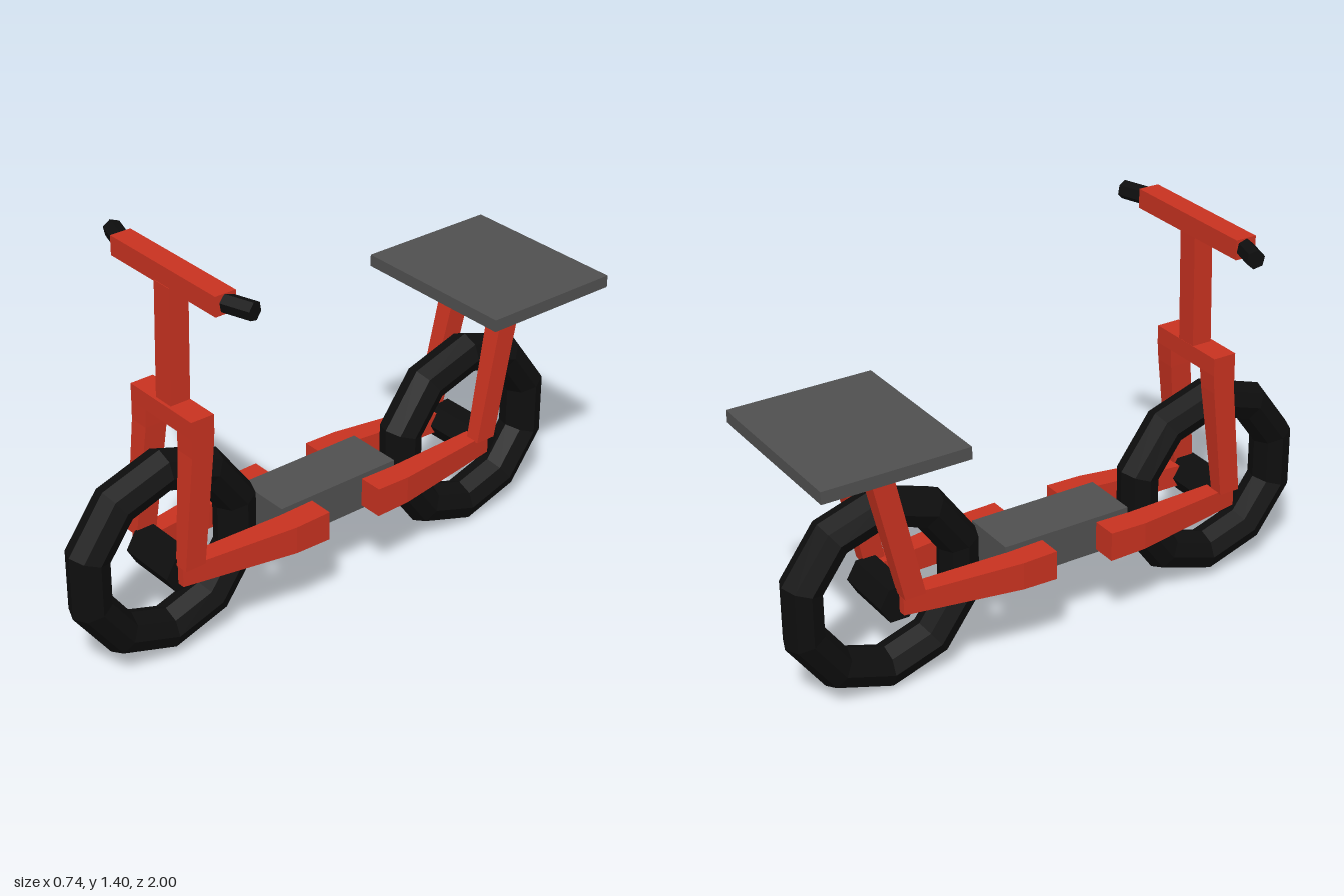
import * as THREE from 'three';

const flat = (name, color) => {
  const m = new THREE.MeshStandardMaterial({ color });
  m.name = name;
  m.flatShading = true;
  return m;
};

// Four-sided beam through rings [t, x0, x1, u0, u1], t ascending along 'y' or 'z'.
function beam(axis, rings, side) {
  const corners = rings.map(([t, x0, x1, u0, u1]) =>
    [[x0, u0], [x1, u0], [x1, u1], [x0, u1]].map(([x, u]) =>
      axis === 'z' ? [x * side, u, t] : [x * side, t, u]));
  const flip = (axis === 'y') !== (side < 0);
  const pos = [];
  const quad = (a, b, c, d) => {
    const tris = flip ? [a, c, b, a, d, c] : [a, b, c, a, c, d];
    tris.forEach((p) => pos.push(...p));
  };
  for (let i = 0; i < corners.length - 1; i++) {
    const r = corners[i], s = corners[i + 1];
    for (let j = 0; j < 4; j++) {
      const k = (j + 1) % 4;
      quad(r[j], r[k], s[k], s[j]);
    }
  }
  const first = corners[0], last = corners[corners.length - 1];
  quad(first[3], first[2], first[1], first[0]);
  quad(last[0], last[1], last[2], last[3]);
  const g = new THREE.BufferGeometry();
  g.setAttribute('position', new THREE.Float32BufferAttribute(pos, 3));
  g.computeVertexNormals();
  return g;
}

export function createModel() {
  const model = new THREE.Group();
  model.name = 'scooter';
  const red = flat('red frame', 0xc83220);
  const grey = flat('dark grey', 0x505050);
  const black = flat('black rubber', 0x0e0e0e);

  const add = (name, geometry, material, x = 0, y = 0, z = 0) => {
    const m = new THREE.Mesh(geometry, material);
    m.name = name;
    m.position.set(x, y, z);
    model.add(m);
    return m;
  };
  const box = (name, material, x, y, z, w, h, d) =>
    add(name, new THREE.BoxGeometry(w, h, d), material, x, y, z);

  // Ten-sided tyres and six-sided hubs
  const tyre = new THREE.TorusGeometry(0.3, 0.072, 8, 10)
    .rotateZ(Math.PI / 10).rotateY(Math.PI / 2).scale(1.06, 1, 1);
  const hub = new THREE.CylinderGeometry(0.07, 0.07, 0.22, 6).rotateZ(Math.PI / 2);
  add('frontTyre', tyre, black, 0, 0.402, 0.645);
  add('rearTyre', tyre, black, 0, 0.376, -0.645);
  add('frontHub', hub, black, 0, 0.37, 0.642);
  add('rearHub', hub, black, 0, 0.37, -0.642);

  // Central deck and rear seat plate
  box('deck', grey, 0, 0.377, 0.003, 0.21, 0.135, 0.485);
  box('seat', grey, 0, 0.959, -0.742, 0.628, 0.043, 0.516);

  // Paired frame members
  for (const [label, s] of [['left', 1], ['right', -1]]) {
    add(label + 'FrontArm', beam('z', [
      [0.118, 0.105, 0.197, 0.322, 0.427],
      [0.255, 0.105, 0.197, 0.325, 0.424],
      [0.668, 0.075, 0.138, 0.34, 0.412],
    ], s), red);
    add(label + 'RearArm', beam('z', [
      [-0.642, 0.075, 0.138, 0.34, 0.412],
      [-0.225, 0.105, 0.193, 0.325, 0.424],
      [-0.097, 0.105, 0.193, 0.322, 0.427],
    ], s), red);
    add(label + 'ForkLeg', beam('y', [
      [0.41, 0.107, 0.16, 0.595, 0.672],
      [0.81, 0.085, 0.16, 0.552, 0.634],
      [0.876, 0.083, 0.16, 0.547, 0.633],
    ], s), red);
    add(label + 'SeatStrut', beam('y', [
      [0.41, 0.107, 0.16, -0.648, -0.571],
      [0.938, 0.08, 0.15, -0.765, -0.685],
    ], s), red);

    // Six-sided grip swept backwards
    const grip = add(label + 'Grip',
      new THREE.CylinderGeometry(0.032, 0.032, 0.105, 6), black, s * 0.313, 1.37, 0.553);
    grip.quaternion.setFromUnitVectors(new THREE.Vector3(0, 1, 0),
      new THREE.Vector3(s * 0.1, 0, -0.032).normalize());
  }

  // Fork crown, steering stem and handlebar
  box('forkCrown', red, 0, 0.907, 0.59, 0.32, 0.063, 0.086);
  add('stem', beam('y', [
    [0.93, -0.039, 0.039, 0.548, 0.622],
    [1.34, -0.039, 0.039, 0.54, 0.612],
  ], 1), red);
  box('handlebar', red, 0, 1.369, 0.572, 0.535, 0.068, 0.076);

  return model;
}
